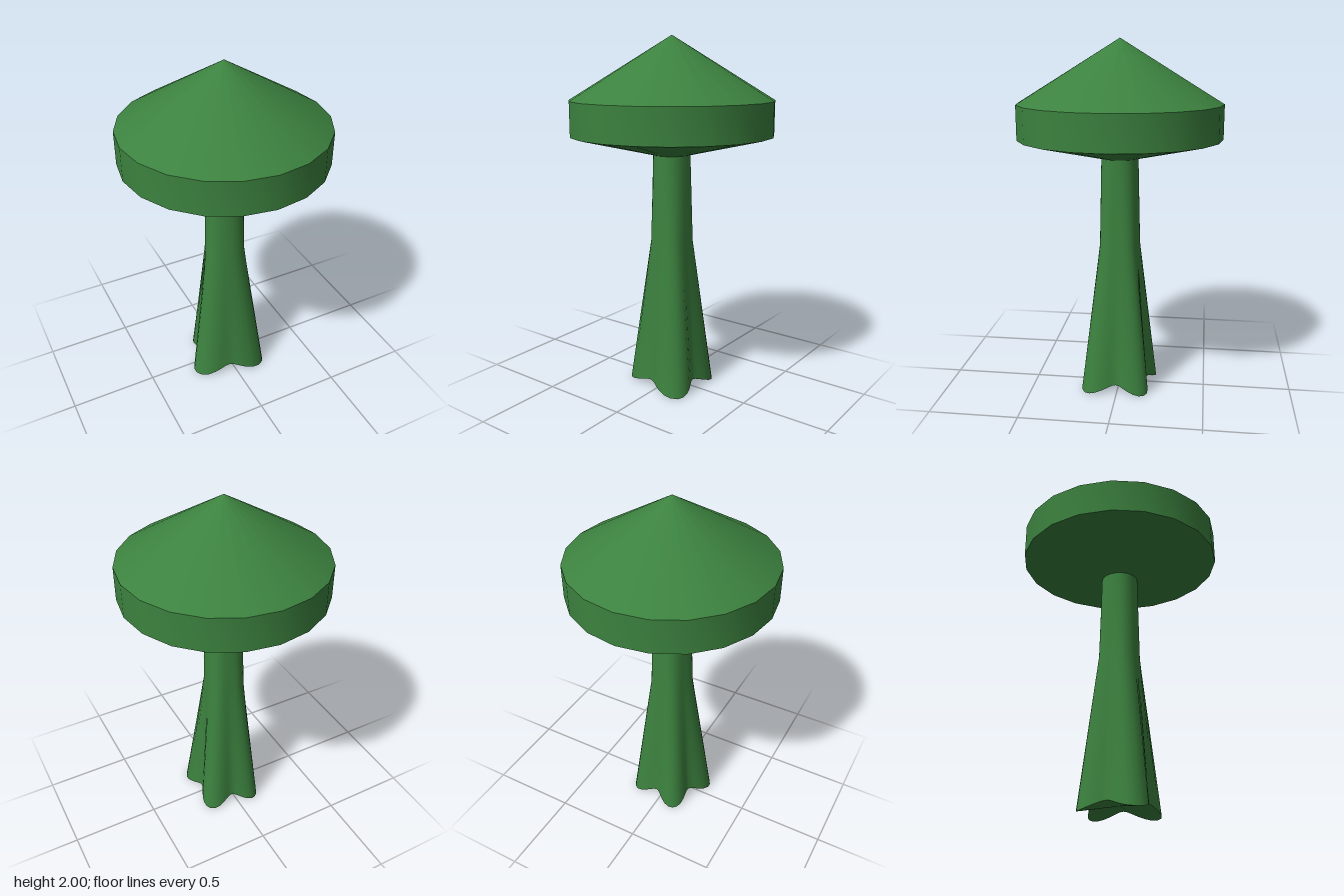
import * as THREE from 'three';
import { toCreasedNormals } from 'three/addons/utils/BufferGeometryUtils.js';

const SEGMENTS = 48;

// Root lobes around the foot of the stem: tip positions [x, z] in order of angle
const TIPS = [[0.18, -0.16], [0.18, 0.185], [-0.235, 0.085], [-0.115, -0.205]].map(([x, z]) => ({
  angle: Math.atan2(z, x),
  radius: Math.hypot(x, z),
}));

// Outline of the foot: wavy radius, with the valleys lifted off the ground
function footPoint(lobe, t) {
  const a = TIPS[lobe];
  const b = TIPS[(lobe + 1) % TIPS.length];
  const gap = (b.angle - a.angle + Math.PI * 2) % (Math.PI * 2);
  const wave = (1 + Math.cos(t * Math.PI * 2)) / 2;
  const tip = THREE.MathUtils.lerp(a.radius, b.radius, t);
  return {
    angle: a.angle + gap * t,
    radius: THREE.MathUtils.lerp(0.157, tip, wave),
    y: 0.047 - 0.045 * wave,
    wave,
  };
}

function stemGeometry() {
  const perLobe = SEGMENTS / TIPS.length;
  const foot = [];
  for (let i = 0; i < SEGMENTS; i++) {
    foot.push(footPoint(Math.floor(i / perLobe), (i % perLobe) / perLobe));
  }
  // Rings from the lobed foot up to the round neck
  const rings = [
    (p) => [p.radius, p.y],
    (p) => [0.11 + 0.01 * p.wave, 0.86],
    () => [0.103, 1.37],
  ];
  const positions = [];
  const index = [];
  rings.forEach((ring) => foot.forEach((p) => {
    const [r, y] = ring(p);
    positions.push(Math.cos(p.angle) * r, y, Math.sin(p.angle) * r);
  }));
  const centre = positions.length / 3;
  positions.push(0, 0.045, 0);
  for (let i = 0; i < SEGMENTS; i++) {
    const next = (i + 1) % SEGMENTS;
    for (let j = 0; j < rings.length - 1; j++) {
      const a = j * SEGMENTS + i;
      const b = j * SEGMENTS + next;
      index.push(a, a + SEGMENTS, b + SEGMENTS, a, b + SEGMENTS, b);
    }
    index.push(centre, i, next); // underside of the foot
  }
  const geometry = new THREE.BufferGeometry();
  geometry.setAttribute('position', new THREE.Float32BufferAttribute(positions, 3));
  geometry.setIndex(index);
  return toCreasedNormals(geometry, Math.PI / 4);
}

// Twenty-sided crown: shallow underside, straight band, conical top
function crownGeometry() {
  const profile = [[0.09, 1.353], [0.565, 1.465], [0.565, 1.655], [0, 2]];
  const lathe = new THREE.LatheGeometry(profile.map(([x, y]) => new THREE.Vector2(x, y)), 20);
  return toCreasedNormals(lathe, Math.PI / 5);
}

export function createModel() {
  const green = new THREE.MeshStandardMaterial({ color: 0x3c823f });
  const model = new THREE.Group();
  model.name = 'tree';
  const parts = { stem: stemGeometry(), crown: crownGeometry() };
  for (const [name, geometry] of Object.entries(parts)) {
    const mesh = new THREE.Mesh(geometry, green);
    mesh.name = name;
    model.add(mesh);
  }
  return model;
}
